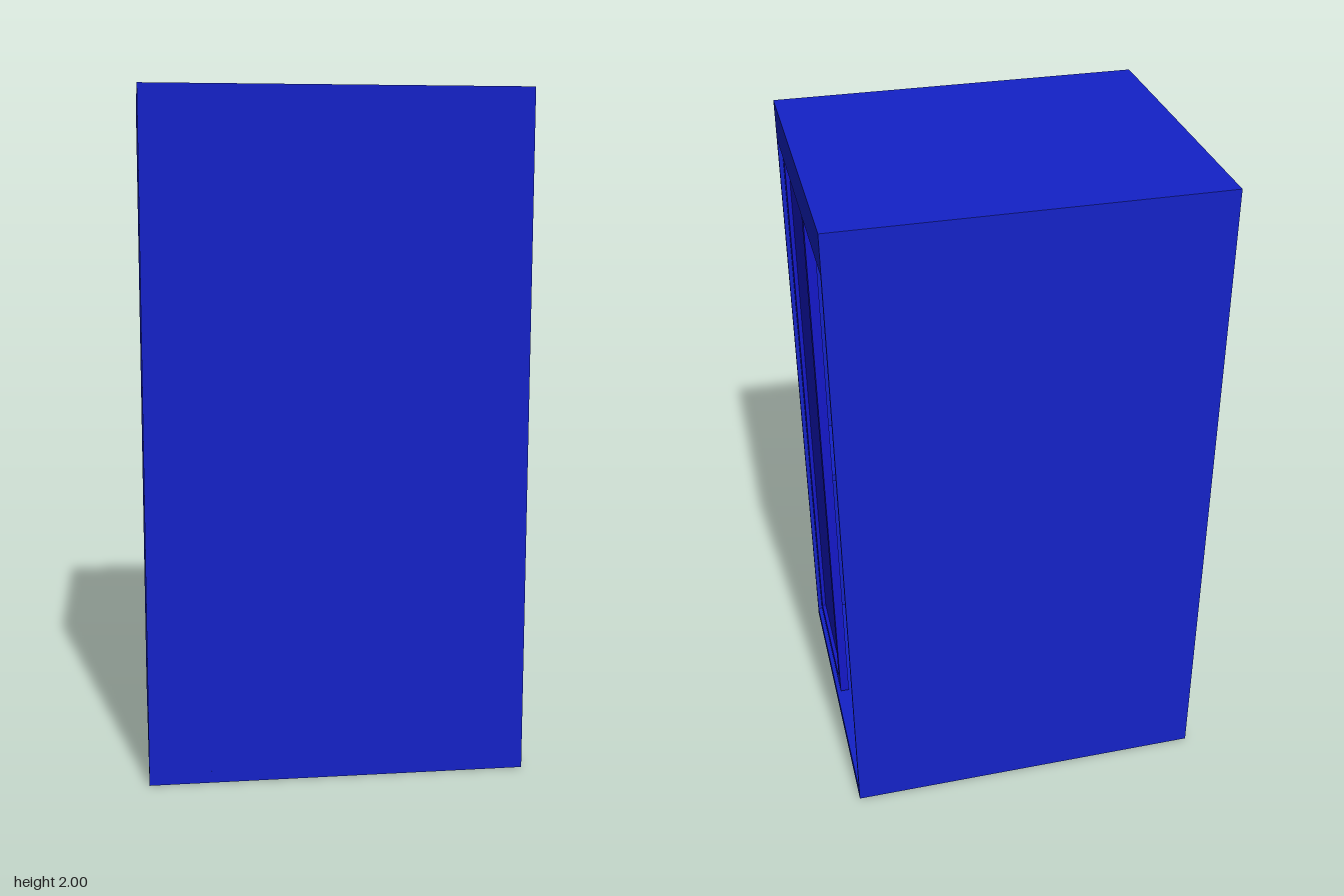
import * as THREE from 'three';

const W = 0.555, D = 0.467, H = 2; // half width, half depth, height
const T = 0.013;                   // wall thickness
const FLOOR = 0.035, CEILING = 1.88;

const bodyMat = new THREE.MeshStandardMaterial({ color: 0x1422c8 });
const doorMat = new THREE.MeshStandardMaterial({ color: 0x1418c8 });
const stoolMat = new THREE.MeshStandardMaterial({ color: 0x5a5a5a });

// Box given by its lower and upper corners
function box(name, [x0, y0, z0], [x1, y1, z1], mat = bodyMat) {
  const mesh = new THREE.Mesh(new THREE.BoxGeometry(x1 - x0, y1 - y0, z1 - z0), mat);
  mesh.position.set((x0 + x1) / 2, (y0 + y1) / 2, (z0 + z1) / 2);
  mesh.name = name;
  return mesh;
}

function disc(name, radius, y0, y1) {
  const mesh = new THREE.Mesh(new THREE.CylinderGeometry(radius, radius, y1 - y0, 32), stoolMat);
  mesh.position.y = (y0 + y1) / 2;
  mesh.name = name;
  return mesh;
}

// Booth shell, open on the +x side
function createBooth() {
  const booth = new THREE.Group();
  booth.name = 'booth';
  booth.add(
    box('floor', [-W, 0, -D], [W, FLOOR, D]),
    box('roof', [-W, CEILING, -D], [W, H, D]),
    box('frontWall', [-W, FLOOR, D - T], [W, CEILING, D]),
    box('backWall', [-W, FLOOR, -D], [W, CEILING, -D + T]),
    box('sideWall', [-W, FLOOR, -D + T], [-W + T, CEILING, D - T]),
    box('shelf', [-W + T, 0.814, 0.16], [0.51, 0.837, D - T])
  );
  return booth;
}

// Framed door covering the front half of the opening
function createDoor() {
  const door = new THREE.Group();
  door.name = 'door';
  const x0 = 0.515, x1 = 0.543;
  const z0 = -0.01, z1 = 0.45, y0 = 0.045, y1 = 1.87;
  const s = 0.035; // frame width
  door.add(
    box('doorBottomRail', [x0, y0, z0], [x1, y0 + s, z1], doorMat),
    box('doorTopRail', [x0, y1 - s, z0], [x1, y1, z1], doorMat),
    box('doorBackStile', [x0, y0 + s, z0], [x1, y1 - s, z0 + s], doorMat),
    box('doorFrontStile', [x0, y0 + s, z1 - s], [x1, y1 - s, z1], doorMat),
    box('doorPanel', [x0 + 0.008, y0 + s, z0 + s], [x1 - 0.012, y1 - s, z1 - s], doorMat)
  );
  return door;
}

// Round stool inside the booth
function createStool() {
  const stool = new THREE.Group();
  stool.name = 'stool';
  stool.add(disc('stoolPost', 0.03, FLOOR, 0.525), disc('stoolSeat', 0.19, 0.525, 0.6));
  stool.position.set(0, 0, -0.12);
  return stool;
}

export function createModel() {
  const model = new THREE.Group();
  model.name = 'photoBooth';
  model.add(createBooth(), createDoor(), createStool());
  return model;
}
